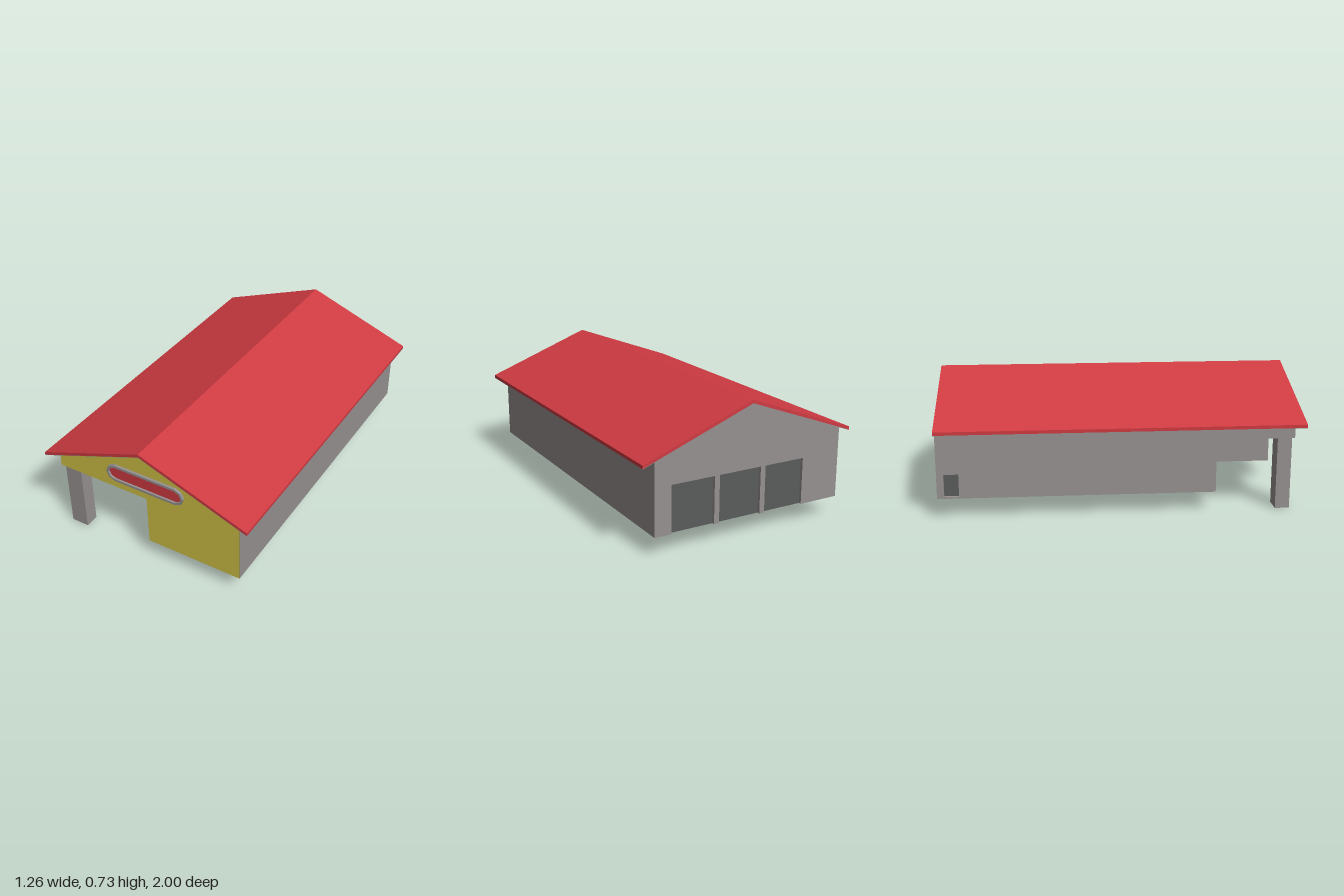
import * as THREE from 'three';

const mat = (name, color, side = THREE.FrontSide) => {
  const m = new THREE.MeshStandardMaterial({ color, side });
  m.name = name;
  return m;
};

export function createModel() {
  const model = new THREE.Group();
  model.name = 'station';
  const grey = mat('wallGrey', 0x969190);
  const red = mat('roofRed', 0xcf3b42);
  const yellow = mat('frontYellow', 0xcfbf43);
  const pale = mat('paleGlass', 0xcfcfcf);
  const dark = mat('doorDark', 0x5a5c5b);

  // Main sizes
  const W = 0.565, BASE = 0.11, BACK = -0.998, FRONT = 0.955;
  const PORCH_Z = 0.5, PORCH_Y = 0.407, INSET = 0.02;
  const SLOPE = 0.373, APEX = 0.715;
  const eave = x => APEX - SLOPE * Math.abs(x);

  const poly = pts => new THREE.Shape(pts.map(p => new THREE.Vector2(p[0], p[1])));
  const rect = (x0, x1, y0, y1) => poly([[x0, y0], [x1, y0], [x1, y1], [x0, y1]]);
  const add = (name, geo, material) => {
    const mesh = new THREE.Mesh(geo, material);
    mesh.name = name;
    model.add(mesh);
    return mesh;
  };
  const extrude = (shape, z0, z1) =>
    new THREE.ExtrudeGeometry(shape, { depth: z1 - z0, bevelEnabled: false }).translate(0, 0, z0);
  const box = (x0, x1, y0, y1, z0, z1) =>
    new THREE.BoxGeometry(x1 - x0, y1 - y0, z1 - z0)
      .translate((x0 + x1) / 2, (y0 + y1) / 2, (z0 + z1) / 2);

  // Gable outline with the porch corner cut away
  const porchGable = () => poly([
    [0, BASE], [W, BASE], [W, eave(W)], [0, APEX], [-W, eave(W)], [-W, PORCH_Y], [0, PORCH_Y],
  ]);

  // Hall behind the porch, and the front block over and beside it
  const inner = -W + INSET;
  add('hall', extrude(poly([
    [inner, BASE], [W, BASE], [W, eave(W)], [0, APEX], [inner, eave(inner)],
  ]), BACK + INSET, PORCH_Z), grey);
  add('frontBlock', extrude(porchGable(), PORCH_Z, FRONT - 0.003), grey);
  add('frontFacade', new THREE.ShapeGeometry(porchGable()).translate(0, 0, FRONT), yellow);

  // Back wall with three door openings, set-back doors behind
  const doors = [[-0.33, -0.09], [-0.06, 0.19], [0.22, 0.47]];
  const DOOR_TOP = 0.37;
  const backOutline = [[inner, BASE]];
  for (const [a, b] of doors) {
    backOutline.push([a, BASE], [a, DOOR_TOP], [b, DOOR_TOP], [b, BASE]);
    add('garageDoor', box(a, b, BASE, DOOR_TOP, BACK + INSET - 0.004, BACK + INSET), dark);
  }
  backOutline.push([W, BASE], [W, eave(W)], [0, APEX], [inner, eave(inner)]);
  add('backWall', extrude(poly(backOutline), BACK, BACK + INSET), grey);

  // Right wall with a small set-back hatch near the rear
  const sideShape = rect(BACK, PORCH_Z, BASE, eave(W));
  sideShape.holes.push(rect(-0.96, -0.88, 0.12, 0.245));
  add('rightWall', extrude(sideShape, 0, INSET).rotateY(-Math.PI / 2).translate(inner, 0, 0), grey);
  add('sideHatch', box(inner - 0.004, inner, 0.12, 0.245, -0.96, -0.88), dark);

  // Porch glazing: one pierced frame over a pale pane
  const frame = rect(-W, 0, BASE, PORCH_Y);
  const panes = [
    [-0.555, -0.385, 0.35, 0.398], [-0.37, -0.195, 0.35, 0.398], [-0.183, -0.01, 0.35, 0.398],
    [-0.555, -0.385, 0.118, 0.337], [-0.37, -0.293, 0.12, 0.332],
    [-0.273, -0.197, 0.12, 0.332], [-0.183, -0.01, 0.118, 0.337],
  ];
  for (const p of panes) frame.holes.push(rect(...p));
  add('porchWindowFrame', extrude(frame, PORCH_Z, PORCH_Z + INSET), grey);
  add('porchGlass', box(-0.56, -0.005, BASE + 0.005, PORCH_Y - 0.005, PORCH_Z, PORCH_Z + 0.008), pale);

  // Porch pillar
  add('porchPillar', box(-0.55, -0.446, 0, PORCH_Y, 0.86, 0.94), grey);

  // Long front sign with faceted round ends
  const capsule = r => {
    const pts = [];
    for (const side of [1, -1])
      for (let i = 0; i <= 4; i++) {
        const a = -Math.PI / 2 + i * Math.PI / 4;
        pts.push([side * (0.188 + r * Math.cos(a)), 0.512 + side * r * Math.sin(a)]);
      }
    return poly(pts);
  };
  const ring = capsule(0.052);
  ring.holes.push(capsule(0.038));
  add('signFrame', extrude(ring, FRONT - 0.002, FRONT + 0.015), grey);
  add('signPanel', extrude(capsule(0.039), FRONT - 0.002, FRONT + 0.004), red);

  // Pitched roof with a grey soffit
  const R = 0.632;
  const chevron = (lo, hi) => poly([
    [-R, eave(R) + lo], [0, APEX + lo], [R, eave(R) + lo],
    [R, eave(R) + hi], [0, APEX + hi], [-R, eave(R) + hi],
  ]);
  add('roof', extrude(chevron(0.001, 0.019), -1, 1), red);
  add('roofSoffit', extrude(chevron(-0.002, 0.001), -0.999, 0.999), grey);

  return model;
}
